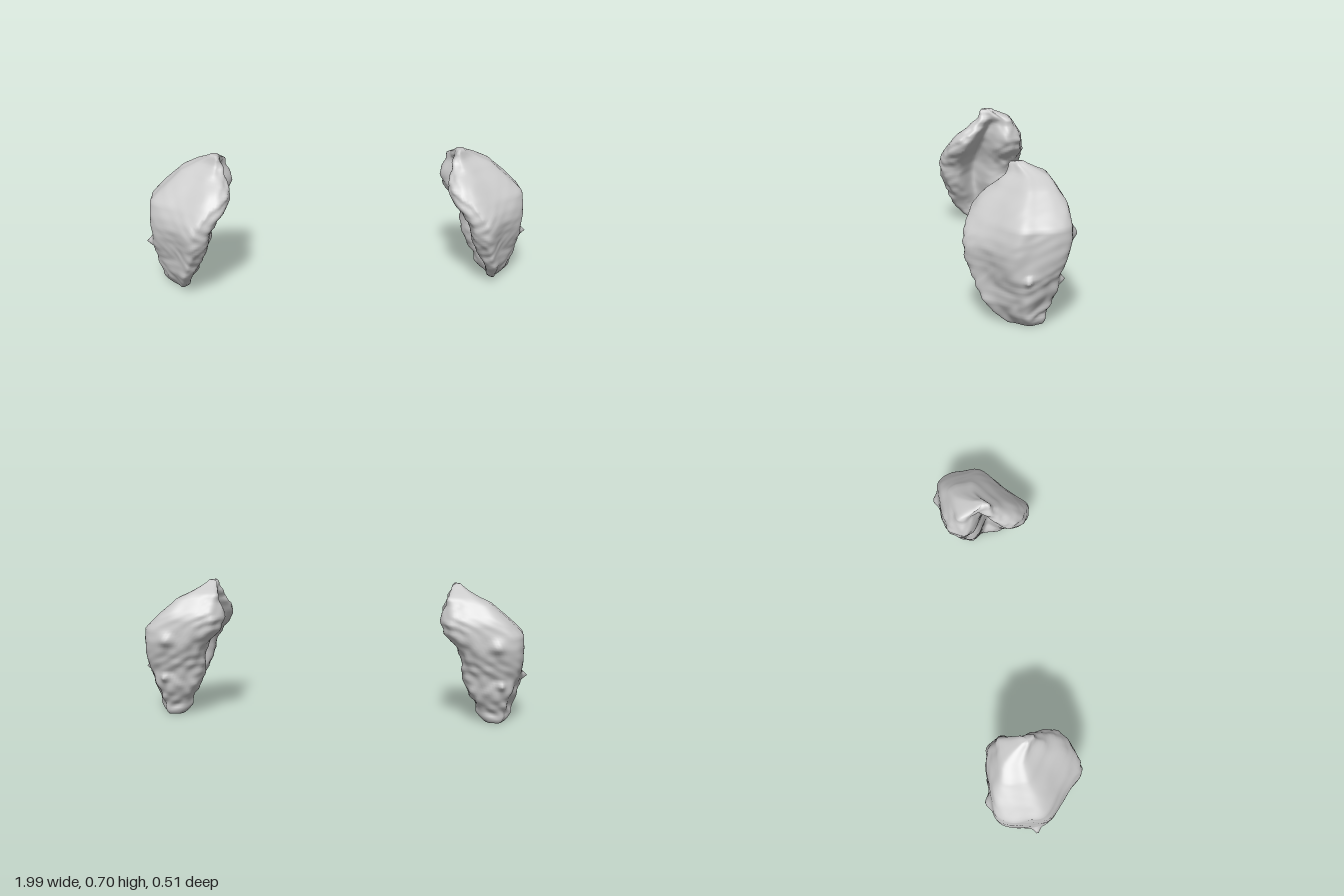
import * as THREE from 'three';

const material = new THREE.MeshStandardMaterial({ color: 0xcccccc, roughness: 0.9 });
const { smoothstep } = THREE.MathUtils;

// Levels of the shell: y, inner x, outer x, front z, back z, notch depth
const levels = [
  [0.00, 0.79, 0.89, 0.06, -0.10, 0.12],
  [0.02, 0.765, 0.91, 0.09, -0.11, 0.18],
  [0.05, 0.75, 0.92, 0.125, -0.11, 0.24],
  [0.10, 0.735, 0.935, 0.17, -0.135, 0.34],
  [0.17, 0.69, 0.955, 0.20, -0.165, 0.40],
  [0.24, 0.67, 0.97, 0.225, -0.17, 0.42],
  [0.30, 0.665, 0.97, 0.252, -0.195, 0.42],
  [0.36, 0.655, 0.97, 0.255, -0.215, 0.40],
  [0.41, 0.625, 0.97, 0.25, -0.225, 0.38],
  [0.47, 0.57, 0.965, 0.222, -0.225, 0.36],
  [0.53, 0.55, 0.905, 0.182, -0.22, 0.33],
  [0.56, 0.555, 0.87, 0.155, -0.21, 0.31],
  [0.59, 0.565, 0.835, 0.11, -0.19, 0.29],
  [0.62, 0.585, 0.80, 0.075, -0.17, 0.24],
  [0.65, 0.585, 0.735, 0.04, -0.15, 0.15],
  [0.675, 0.60, 0.69, 0.03, -0.10, 0.05],
  [0.695, 0.605, 0.66, 0.03, -0.055, 0.0],
  [0.705, 0.615, 0.65, 0.02, -0.04, 0.0],
];

// Blend the two levels around a height
function levelAt(y) {
  let k = 0;
  while (k < levels.length - 2 && levels[k + 1][0] < y) k++;
  const a = levels[k], b = levels[k + 1];
  const t = (y - a[0]) / (b[0] - a[0]);
  return a.map((v, i) => v + (b[i] - v) * t);
}

// Chevron cross-section: u runs inner to outer, v runs back to front.
// Below the overhanging lip the front lobe thins out and steps back,
// and the outer face narrows to a ridge.
function section(notch, y) {
  const lip = smoothstep(0.37 - y, 0, 0.09);
  const low = smoothstep(0.34 - y, 0, 0.24);
  const points = [
    [0.99 - 0.14 * low, -0.66], [1, -0.22], [0.98 - 0.08 * low - 0.02 * lip, 0.12],
    [0.64 - 0.07 * lip, 0.58], [0.27 + 0.08 * low, 1], [0.06 + 0.13 * low, 0.88],
    [0.03 + 0.14 * low, 0.52], [notch, 0.1], [0.06, -0.3], [0, -0.62],
    [0.2, -0.94], [0.58, -1], [0.88 - 0.12 * low, -0.94],
  ].map(([u, v]) => new THREE.Vector3(u, 0, v));
  return new THREE.CatmullRomCurve3(points, true, 'centripetal');
}

// Uneven waves for the rocky skin
function bump(x, y, z) {
  const wx = x + 0.03 * Math.sin(y * 31 + z * 17);
  const wz = z + 0.03 * Math.sin(y * 23 - x * 29);
  return 0.6 * Math.sin(wx * 67 + y * 21) * Math.sin(y * 58 + wz * 19)
    + 0.4 * Math.sin(wz * 71 + 1.3) * Math.sin(y * 47 + wx * 24);
}

// Lumps swelling out of the skin: centre x, y, z, push x, y, z, spread
const lumps = [
  [0.97, 0.24, -0.015, 0.03, 0, 0, 0.016],
  [0.86, 0.21, -0.165, 0.005, 0, -0.032, 0.02],
  [0.84, 0.42, -0.225, 0, 0, -0.027, 0.032],
  [0.59, 0.65, -0.14, -0.012, 0.004, -0.014, 0.025],
];

function swell(p) {
  const q = p.clone();
  for (const [x, y, z, dx, dy, dz, spread] of lumps) {
    const d = p.distanceTo(new THREE.Vector3(x, y, z)) / spread;
    q.addScaledVector(new THREE.Vector3(dx, dy, dz), Math.exp(-d * d));
  }
  return q;
}

function shellGeometry(side) {
  const rings = 56, around = 96, top = 0.705;
  const pos = [], index = [];
  const tri = (a, b, c) => (side > 0 ? index.push(a, b, c) : index.push(a, c, b));
  for (let j = 0; j <= rings; j++) {
    const y = (top * j) / rings;
    const [, xi, xo, zf, zb, notch] = levelAt(y);
    const curve = section(notch, y);
    const rough = 0.009 * Math.min(1, j / 4, (rings - j) / 5);
    for (let i = 0; i < around; i++) {
      const c = curve.getPoint(i / around);
      const p = new THREE.Vector3(
        xi + (xo - xi) * c.x, y, (zf + zb) / 2 + ((zf - zb) / 2) * c.z);
      // Rougher on the inner and lower faces, smooth on the upper outside
      const r = rough * bump(p.x, y, p.z) * (1 - 0.75 * smoothstep(c.x * y, 0.1, 0.3));
      p.x += r * (2 * c.x - 1);
      p.z += r * c.z;
      const q = swell(p);
      pos.push(side * q.x, q.y, q.z);
    }
  }
  for (let j = 0; j < rings; j++) {
    for (let i = 0; i < around; i++) {
      const n = (i + 1) % around;
      const a = j * around + i, b = j * around + n;
      tri(a, a + around, b);
      tri(b, a + around, b + around);
    }
  }
  // Closed bottom and top
  for (const j of [0, rings]) {
    const centre = pos.length / 3;
    const [y, xi, xo, zf, zb] = levelAt((top * j) / rings);
    pos.push(side * (xi + (xo - xi) * 0.55), y, (zf + zb) / 2);
    for (let i = 0; i < around; i++) {
      const a = j * around + i, b = j * around + ((i + 1) % around);
      if (j === 0) tri(centre, a, b);
      else tri(centre, b, a);
    }
  }
  const geometry = new THREE.BufferGeometry();
  geometry.setAttribute('position', new THREE.Float32BufferAttribute(pos, 3));
  geometry.setIndex(index);
  geometry.computeVertexNormals();
  return geometry;
}

export function createModel() {
  const model = new THREE.Group();
  for (const side of [1, -1]) {
    const shell = new THREE.Mesh(shellGeometry(side), material);
    shell.name = side > 0 ? 'leftRockShell' : 'rightRockShell';
    model.add(shell);
  }
  return model;
}
